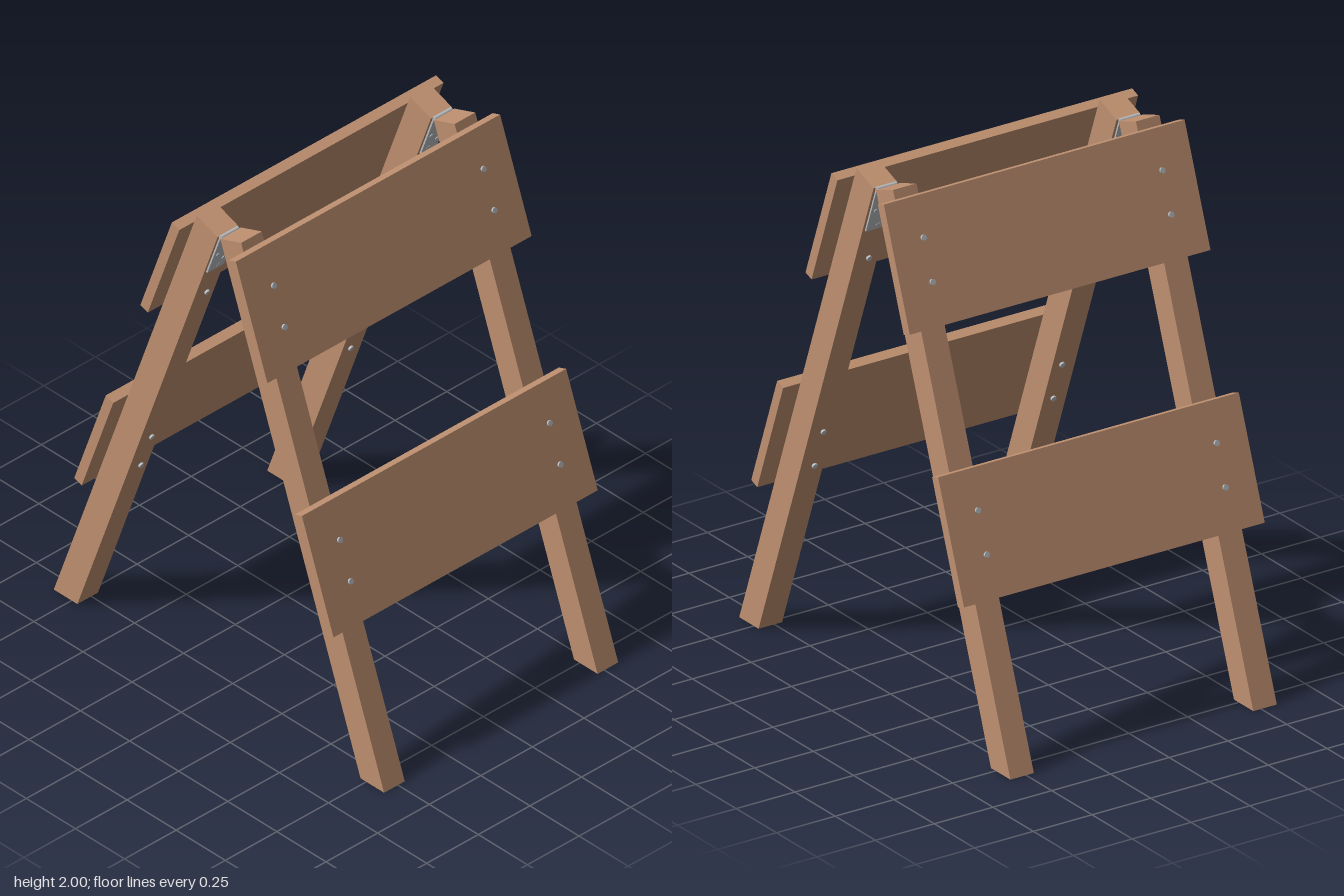
import * as THREE from 'three';

const TILT = THREE.MathUtils.degToRad(20);
const TOP_Y = 1.961;      // height of the inner top corner of each leg
const LEG_X = 0.517, LEG_W = 0.1, LEG_T = 0.113;
const BOARD_T = 0.04, BOARD_H = 0.47, BOARD_W = 1.28;

const wood = new THREE.MeshStandardMaterial({ color: 0xbf9070 });
wood.name = 'wood';
const steel = new THREE.MeshStandardMaterial({ color: 0xb8bcc0 });
steel.name = 'steel';

function add(parent, name, geometry, material, x = 0, y = 0, z = 0) {
  const mesh = new THREE.Mesh(geometry, material);
  mesh.name = name;
  mesh.position.set(x, y, z);
  parent.add(mesh);
  return mesh;
}

// Leg: square cut at the top, cut level with the ground at the foot
function legGeometry() {
  const foot = z => (-TOP_Y - z * Math.sin(TILT)) / Math.cos(TILT);
  const shape = new THREE.Shape([
    new THREE.Vector2(0, 0),
    new THREE.Vector2(0, foot(0)),
    new THREE.Vector2(LEG_T, foot(LEG_T)),
    new THREE.Vector2(LEG_T, 0),
  ]);
  const geometry = new THREE.ExtrudeGeometry(shape, { depth: LEG_W, bevelEnabled: false });
  return geometry.rotateY(-Math.PI / 2).translate(LEG_W / 2, 0, 0);
}

// One leaning half; local y runs up the slope, local z points outward
function makeFrame(name) {
  const frame = new THREE.Group();
  frame.name = name;
  frame.position.set(0, TOP_Y, 0.007);
  frame.rotation.x = -TILT;

  const leg = legGeometry();
  const board = new THREE.BoxGeometry(BOARD_W, BOARD_H, BOARD_T);
  const boltLength = LEG_T + BOARD_T + 0.016;
  const bolt = new THREE.CylinderGeometry(0.011, 0.011, boltLength, 12).rotateX(Math.PI / 2);
  const leaf = new THREE.BoxGeometry(0.08, 0.2, 0.007);
  const screw = new THREE.CylinderGeometry(0.008, 0.008, 0.004, 10).rotateX(Math.PI / 2);

  for (const y of [-0.27, -1.254]) {
    add(frame, 'board', board, wood, 0, y, LEG_T + BOARD_T / 2);
    // Bolts pass right through board and leg
    for (const x of [-0.508, 0.508])
      for (const dy of [0.084, -0.076])
        add(frame, 'bolt', bolt, steel, x, y + dy, (LEG_T + BOARD_T) / 2);
  }

  for (const side of [-1, 1]) {
    add(frame, 'leg', leg, wood, side * LEG_X);
    add(frame, 'hingeLeaf', leaf, steel, side * LEG_X, -0.102, -0.0035);
    for (const [dx, y] of [[-0.02, -0.07], [0.02, -0.11], [-0.02, -0.15]])
      add(frame, 'hingeScrew', screw, steel, side * LEG_X + dx, y, -0.008);
  }
  return frame;
}

export function createModel() {
  const model = new THREE.Group();
  model.name = 'foldingBarricade';

  model.add(makeFrame('frontFrame'));
  const back = new THREE.Group();
  back.name = 'backHalf';
  back.rotation.y = Math.PI;
  back.add(makeFrame('backFrame'));
  model.add(back);

  // Hinge pins joining the two halves
  const pin = new THREE.CylinderGeometry(0.008, 0.008, 0.085, 12).rotateZ(Math.PI / 2);
  for (const side of [-1, 1]) add(model, 'hingePin', pin, steel, side * LEG_X, TOP_Y - 0.002, 0);

  return model;
}
